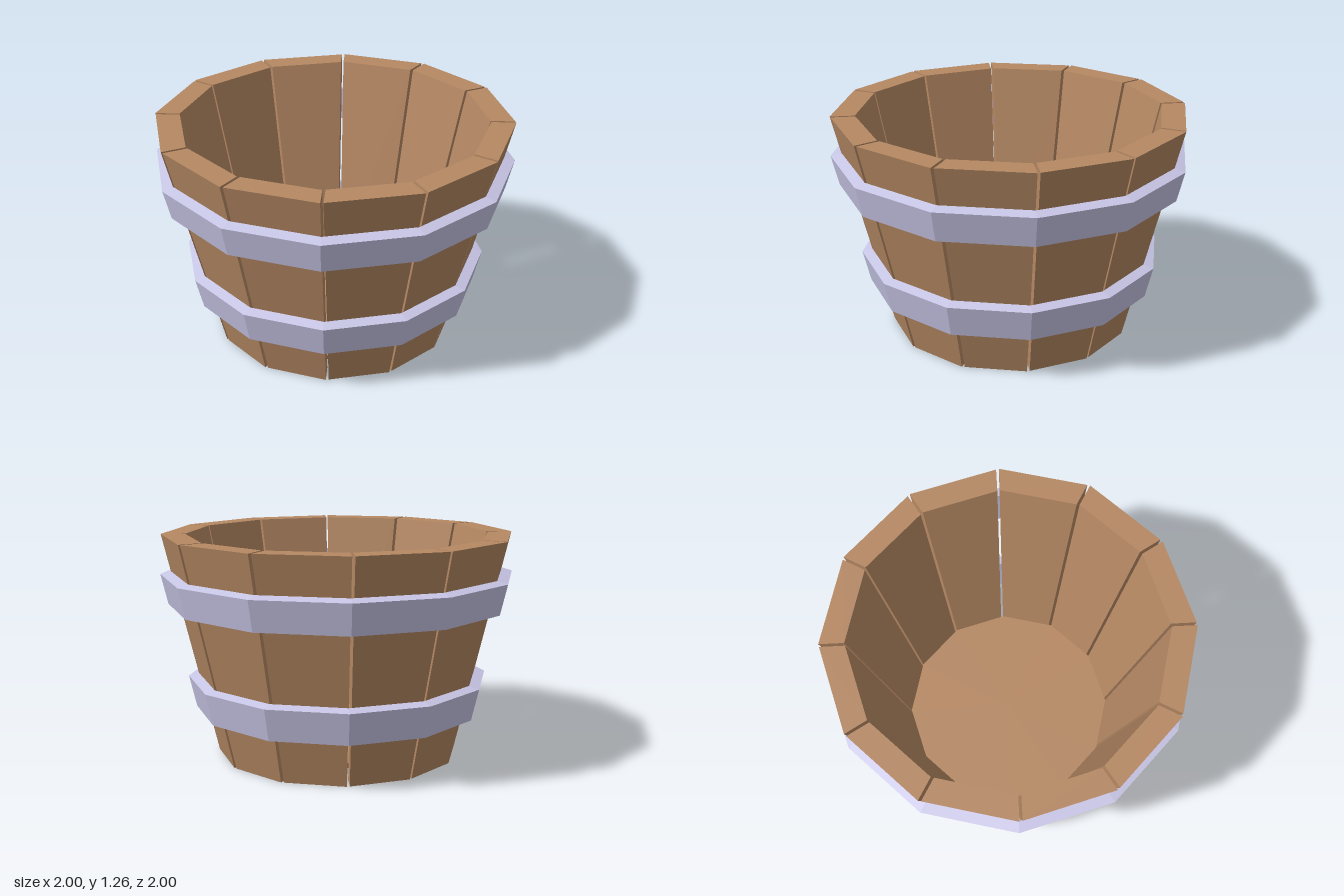
import * as THREE from 'three';

const SIDES = 12;
const STEP = (Math.PI * 2) / SIDES;
const HEIGHT = 1.26;
const GAP = 0.016;
const OUTER = [0.69, 0.99]; // bottom and top radius
const INNER = [0.58, 0.855];

const wood = new THREE.MeshStandardMaterial({ color: 0xb58863, flatShading: true });
const metal = new THREE.MeshStandardMaterial({ color: 0xc8c6e6, flatShading: true });

const corner = (radius, y, angle) =>
  new THREE.Vector3(radius * Math.sin(angle), y, radius * Math.cos(angle));

// One flaring plank between two corners of the twelve-sided tub, with a gap at its first edge
function createStave(index) {
  const geometry = new THREE.BoxGeometry(1, 1, 1);
  const pos = geometry.attributes.position;
  for (let i = 0; i < pos.count; i++) {
    const level = pos.getY(i) > 0 ? 1 : 0;
    const radius = (pos.getZ(i) > 0 ? OUTER : INNER)[level];
    const start = corner(radius, level * HEIGHT, index * STEP);
    const end = corner(radius, level * HEIGHT, (index + 1) * STEP);
    const t = pos.getX(i) > 0 ? 1 : GAP / start.distanceTo(end);
    const p = start.lerp(end, t);
    pos.setXYZ(i, p.x, p.y, p.z);
  }
  geometry.computeVertexNormals();
  return new THREE.Mesh(geometry, wood);
}

// Closed hoop with a flared face and a bevelled top, hugging the staves
function createHoop(bottomY, shoulderY, topY, bottomRadius, shoulderRadius) {
  const staveRadius = (y) => THREE.MathUtils.lerp(OUTER[0], OUTER[1], y / HEIGHT);
  const profile = [
    [bottomRadius, bottomY],
    [shoulderRadius, shoulderY],
    [staveRadius(topY), topY],
    [staveRadius(bottomY), bottomY],
    [bottomRadius, bottomY],
  ].map(([r, y]) => new THREE.Vector2(r, y));
  return new THREE.Mesh(new THREE.LatheGeometry(profile, SIDES), metal);
}

export function createModel() {
  const tub = new THREE.Group();
  tub.name = 'woodenTub';

  const staves = new THREE.Group();
  staves.name = 'staves';
  for (let i = 0; i < SIDES; i++) {
    const stave = createStave(i);
    stave.name = `stave${i + 1}`;
    staves.add(stave);
  }
  tub.add(staves);

  // Floor board, raised slightly above the foot of the staves
  const floor = new THREE.Mesh(new THREE.CylinderGeometry(0.602, 0.595, 0.03, SIDES), wood);
  floor.name = 'floor';
  floor.position.y = 0.085;
  tub.add(floor);

  // Metal hoops
  const lowerHoop = createHoop(0.265, 0.445, 0.46, 0.815, 0.857);
  lowerHoop.name = 'lowerHoop';
  const upperHoop = createHoop(0.865, 1.035, 1.05, 0.96, 1.0);
  upperHoop.name = 'upperHoop';
  tub.add(lowerHoop, upperHoop);

  return tub;
}
